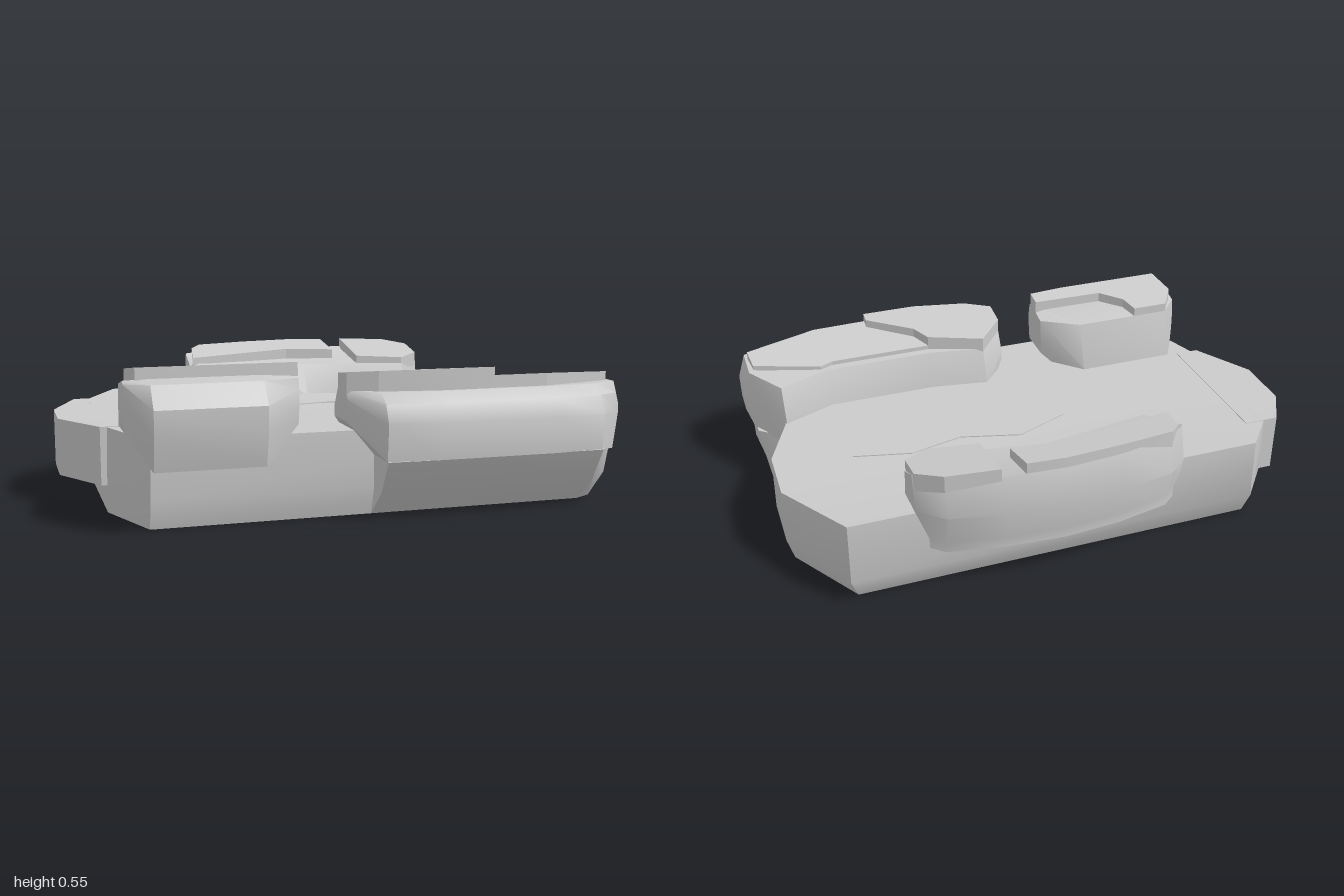
import * as THREE from 'three';
import { toCreasedNormals } from 'three/addons/utils/BufferGeometryUtils.js';

const stone = new THREE.MeshStandardMaterial({ color: 0xcccccc });

function mesh(name, geometry, crease = 0.6) {
  const m = new THREE.Mesh(toCreasedNormals(geometry, crease), stone);
  m.name = name;
  return m;
}

// Closed skin over rings of [x, y, z] points, capped at both ends
function loft(name, rings) {
  const n = rings[0].length, pos = rings.flat(2), idx = [];
  for (let i = 0; i < rings.length - 1; i++) {
    for (let j = 0; j < n; j++) {
      const a = i * n + j, b = i * n + (j + 1) % n, c = a + n, d = b + n;
      idx.push(a, c, b, b, c, d);
    }
  }
  [0, rings.length - 1].forEach((i, end) => {
    const centre = pos.length / 3;
    for (let k = 0; k < 3; k++) pos.push(rings[i].reduce((s, p) => s + p[k], 0) / n);
    for (let j = 0; j < n; j++) {
      const a = i * n + j, b = i * n + (j + 1) % n;
      if (end) idx.push(centre, b, a);
      else idx.push(centre, a, b);
    }
  });
  const g = new THREE.BufferGeometry();
  g.setAttribute('position', new THREE.Float32BufferAttribute(pos, 3));
  g.setIndex(idx);
  return mesh(name, g);
}

// Rock from cross-sections along x; each profile is a list of [z, y]
const rock = (name, sections) =>
  loft(name, sections.map(([x, profile]) => profile.map(([z, y]) => [x, y, z])));

// Flat plate with an [x, z] outline, a level base and a top that follows top(z)
function plate(name, outline, base, top) {
  const shape = new THREE.Shape(outline.map(([x, z]) => new THREE.Vector2(x, -z)));
  const g = new THREE.ExtrudeGeometry(shape, { depth: 1, bevelEnabled: false }).rotateX(-Math.PI / 2);
  const p = g.attributes.position;
  for (let i = 0; i < p.count; i++) p.setY(i, p.getY(i) > 0.5 ? top(p.getZ(i)) : base);
  return mesh(name, g, 0.2);
}

const slabTop = z => 0.31 + 0.03 * THREE.MathUtils.clamp((-0.27 - z) / 0.28, 0, 1);

function createSlab() {
  const group = new THREE.Group();
  group.name = 'baseSlab';
  const foot = [[0.87, 0.48], [-0.74, 0.48], [-0.85, 0.2], [-0.85, -0.33], [-0.74, -0.5],
    [0.77, -0.5], [0.945, -0.22], [0.945, -0.02], [0.87, 0.2]];
  const side = [[0.87, 0.51], [-0.74, 0.51], [-0.85, 0.2], [-0.86, -0.4], [-0.74, -0.55],
    [0.8, -0.55], [0.97, -0.24], [0.97, -0.02], [0.88, 0.2]];
  const ring = (pts, s, y) => pts.map(([x, z]) => [x * s, typeof y === 'number' ? y : y(z), z * s]);
  group.add(loft('slabBody', [ring(foot, 1, 0), ring(side, 1, 0.1),
    ring(side, 0.995, slabTop), ring(side, 0.5, 0.31)]));

  // Overhanging ledge on the right-hand side
  group.add(plate('sideLedge', [[-0.78, 0.205], [-0.87, 0.2], [-1, -0.02], [-1, -0.24],
    [-0.91, -0.4], [-0.78, -0.4]], 0.1, z => slabTop(z) + 0.002));

  // Zigzag crack line
  group.add(plate('crack', [[-0.16, -0.075], [0.05, -0.12], [0.26, -0.07], [0.47, -0.12], [0.67, -0.095],
    [0.68, -0.105], [0.47, -0.155], [0.27, -0.11], [0.05, -0.17], [-0.16, -0.085]], 0.29, () => 0.314));
  return group;
}

function createFrontLeftRock() {
  const group = new THREE.Group();
  group.name = 'frontLeftRock';
  // Lower apron reaching the ground
  const apron = [[0.48, 0], [0.59, 0.1], [0.66, 0.22], [0.25, 0.22], [0.25, 0]];
  group.add(loft('rockApron', [
    apron.map(([z, y]) => [0.05, y, z]),
    apron.map(([z, y]) => [0.26, y, z > 0.6 ? 0.67 : z]),
    apron.map(([z, y]) => [0.87, y, z]),
    apron.map(([z, y]) => [0.94 + Math.min(y, 0.1) * 0.3, y, z > 0.3 ? z * 0.5 + 0.2 : 0.33]),
  ]));
  // Main boulder: front edge, back edge
  const profile = (f, b) => [[f - 0.01, 0.22], [f, 0.35], [f - 0.03, 0.415], [f - 0.08, 0.45],
    [b + 0.05, 0.44], [b, 0.31], [b, 0.22]];
  group.add(rock('rockBody', [
    [-0.05, [[0.5, 0.34], [0.51, 0.38], [0.51, 0.42], [0.49, 0.45], [0.4, 0.45], [0.36, 0.38], [0.36, 0.34]]],
    [0.05, profile(0.66, 0.245)],
    [0.26, profile(0.68, 0.28)],
    [0.68, profile(0.68, 0.28)],
    [0.87, profile(0.66, 0.2)],
    [0.97, [[0.55, 0.2], [0.57, 0.35], [0.56, 0.41], [0.54, 0.45], [0.39, 0.45], [0.36, 0.33], [0.36, 0.2]]],
    [1, [[0.52, 0.28], [0.53, 0.33], [0.53, 0.36], [0.51, 0.38], [0.43, 0.38], [0.41, 0.34], [0.41, 0.28]]],
  ]));
  // Two stepped cap plates
  group.add(plate('upperCap', [[-0.05, 0.5], [0.05, 0.55], [0.26, 0.585], [0.47, 0.585], [0.47, 0.54],
    [0.3, 0.43], [0.26, 0.36], [0.05, 0.29], [-0.05, 0.4]], 0.42, z => 0.525 - (0.585 - z) * 0.13));
  group.add(plate('lowerCap', [[0.26, 0.36], [0.3, 0.43], [0.47, 0.54], [0.47, 0.58], [0.68, 0.575],
    [0.96, 0.5], [0.95, 0.41], [0.7, 0.34], [0.65, 0.36]], 0.42, z => 0.495 - (0.58 - z) * 0.17));
  return group;
}

function createFrontRightRock() {
  const group = new THREE.Group();
  group.name = 'frontRightRock';
  const middle = [[0.6, 0.22], [0.63, 0.34], [0.63, 0.43], [0.57, 0.505], [0.49, 0.515],
    [0.265, 0.49], [0.21, 0.31], [0.21, 0.22]];
  const end = [[0.49, 0.34], [0.5, 0.4], [0.5, 0.46], [0.49, 0.5], [0.47, 0.51],
    [0.36, 0.485], [0.35, 0.4], [0.35, 0.34]];
  group.add(rock('rockBody', [[-0.82, end], [-0.74, middle], [-0.36, middle], [-0.22, end]]));
  // Notched cap
  group.add(plate('notchedCap', [[-0.8, 0.36], [-0.74, 0.265], [-0.6, 0.265], [-0.58, 0.34], [-0.5, 0.41],
    [-0.22, 0.415], [-0.22, 0.48], [-0.36, 0.49], [-0.78, 0.49]], 0.47, z => 0.525 + (z - 0.27) * 0.136));
  return group;
}

function createBackRock() {
  const group = new THREE.Group();
  group.name = 'backRock';
  // Curved boulder: front edge, back edge
  const profile = (f, b, t = 0.07) => [[f, 0.18], [f, 0.31], [f - t, 0.43], [b + 0.05, 0.47],
    [b + 0.035, 0.48], [b, 0.35], [b + 0.04, 0.22], [b + 0.04, 0.18]];
  group.add(rock('rockBody', [
    [-0.43, profile(-0.37, -0.57, 0.05)],
    [-0.36, profile(-0.29, -0.63)],
    [-0.16, profile(-0.32, -0.67)],
    [0.05, profile(-0.34, -0.685, 0.08)],
    [0.26, profile(-0.315, -0.67)],
    [0.47, profile(-0.28, -0.63)],
    [0.56, profile(-0.4, -0.55, 0.02)],
  ]));
  // Two caps separated by a groove
  const top = z => 0.455 + (-0.35 - z) * 0.21;
  group.add(plate('longCap', [[-0.42, -0.43], [0, -0.51], [0.2, -0.485], [0.19, -0.63], [0.05, -0.645],
    [-0.16, -0.63], [-0.36, -0.605], [-0.4, -0.56]], 0.41, top));
  group.add(plate('shortCap', [[0.28, -0.39], [0.47, -0.35], [0.555, -0.41], [0.555, -0.535], [0.47, -0.605],
    [0.28, -0.635]], 0.41, top));
  return group;
}

export function createModel() {
  const model = new THREE.Group();
  model.name = 'rockFormation';
  model.add(createSlab(), createFrontLeftRock(), createFrontRightRock(), createBackRock());
  return model;
}
